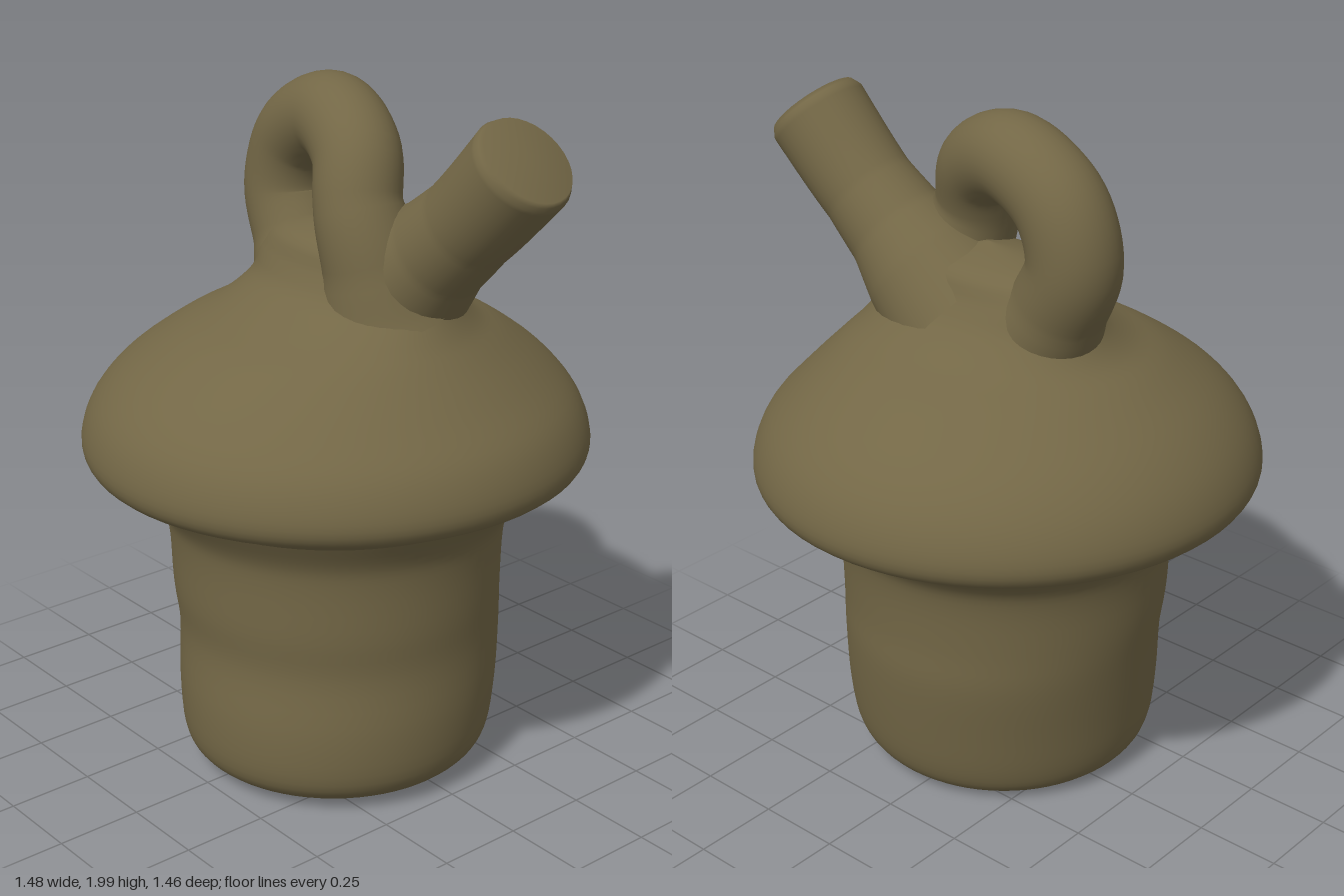
import * as THREE from 'three';
import { mergeVertices } from 'three/addons/utils/BufferGeometryUtils.js';

const clay = new THREE.MeshStandardMaterial({ color: 0x736746 });
clay.name = 'olive clay';

const V = (x, y, z) => new THREE.Vector3(x, y, z);

// Catmull-Rom value between b and c
function spline(a, b, c, d, t) {
  return b + 0.5 * t * (c - a + t * (2 * a - 5 * b + 4 * c - d + t * (3 * (b - c) + d - a)));
}

// Smooth skin through horizontal rings [y, left, right, front, back]
function loft(rings, steps = 4, sides = 72) {
  const pos = [], index = [];
  const at = i => rings[Math.min(Math.max(i, 0), rings.length - 1)];
  const rows = (rings.length - 1) * steps + 1;
  for (let r = 0; r < rows; r++) {
    const i = Math.floor(r / steps), t = (r % steps) / steps;
    const [y, l, rt, f, b] = at(i).map((v, k) => spline(at(i - 1)[k], v, at(i + 1)[k], at(i + 2)[k], t));
    for (let s = 0; s < sides; s++) {
      const a = (s / sides) * Math.PI * 2;
      pos.push((l + rt) / 2 + Math.cos(a) * (rt - l) / 2, y, (f + b) / 2 + Math.sin(a) * (f - b) / 2);
      if (r < rows - 1) {
        const n = (s + 1) % sides, p = r * sides, q = p + sides;
        index.push(p + s, q + s, p + n, p + n, q + s, q + n);
      }
    }
  }
  const g = new THREE.BufferGeometry();
  g.setAttribute('position', new THREE.Float32BufferAttribute(pos, 3));
  g.setIndex(index);
  g.computeVertexNormals();
  return g;
}

// Tube whose radius follows [u, radius] knots
function taperedTube(points, knots, segments = 60, sides = 32) {
  const curve = new THREE.CatmullRomCurve3(points);
  const g = new THREE.TubeGeometry(curve, segments, 1, sides);
  const p = g.attributes.position, n = g.attributes.normal;
  for (let i = 0; i < p.count; i++) {
    const u = Math.floor(i / (sides + 1)) / segments;
    const k = Math.max(1, knots.findIndex(q => q[0] >= u - 1e-6));
    const [u0, r0] = knots[k - 1], [u1, r1] = knots[k];
    const r = r0 + (r1 - r0) * (u - u0) / (u1 - u0);
    const c = curve.getPointAt(u);
    p.setXYZ(i, c.x + n.getX(i) * r, c.y + n.getY(i) * r, c.z + n.getZ(i) * r);
  }
  g.deleteAttribute('normal');
  g.deleteAttribute('uv');
  const merged = mergeVertices(g, 1e-5);
  merged.computeVertexNormals();
  return merged;
}

export function createModel() {
  const group = new THREE.Group();
  const add = (name, geometry) => {
    const m = new THREE.Mesh(geometry, clay);
    m.name = name;
    group.add(m);
  };

  // Hollow base: bore, rounded foot and slightly uneven wall
  add('base', loft([
    [0.62, 0.03, 0.03, 0.02, 0.02],
    [0.60, -0.17, 0.22, 0.22, -0.18],
    [0.45, -0.25, 0.31, 0.30, -0.26],
    [0.18, -0.23, 0.29, 0.29, -0.22],
    [0.06, -0.21, 0.27, 0.28, -0.20],
    [0.015, -0.26, 0.32, 0.33, -0.25],
    [0.015, -0.32, 0.37, 0.38, -0.31],
    [0.045, -0.38, 0.44, 0.46, -0.37],
    [0.11, -0.41, 0.485, 0.5, -0.405],
    [0.25, -0.43, 0.495, 0.505, -0.43],
    [0.42, -0.45, 0.485, 0.488, -0.45],
    [0.55, -0.465, 0.49, 0.5, -0.45],
    [0.7, -0.475, 0.492, 0.505, -0.46],
    [0.78, -0.5, 0.505, 0.52, -0.485],
    [0.86, -0.57, 0.55, 0.57, -0.56],
  ]));

  // Overhanging cap that narrows to an oval neck
  add('cap', loft([
    [0.82, -0.525, 0.52, 0.535, -0.515],
    [0.86, -0.57, 0.55, 0.57, -0.56],
    [0.9, -0.655, 0.62, 0.65, -0.64],
    [0.935, -0.72, 0.69, 0.715, -0.71],
    [1.0, -0.738, 0.705, 0.73, -0.725],
    [1.1, -0.7, 0.665, 0.695, -0.69],
    [1.2, -0.615, 0.575, 0.605, -0.605],
    [1.3, -0.48, 0.48, 0.46, -0.46],
    [1.36, -0.38, 0.425, 0.33, -0.34],
    [1.43, -0.325, 0.38, 0.21, -0.25],
    [1.5, -0.31, 0.36, 0.16, -0.2],
    [1.57, -0.22, 0.3, 0.12, -0.16],
    [1.61, 0.03, 0.03, -0.02, -0.02],
  ]));

  // Looped handle
  add('loopHandle', taperedTube([
    V(-0.16, 1.38, -0.03), V(-0.24, 1.5, -0.05), V(-0.3, 1.64, -0.06), V(-0.25, 1.79, -0.06),
    V(-0.08, 1.875, -0.04), V(0.08, 1.81, 0.01), V(0.135, 1.68, 0.05), V(0.18, 1.54, 0.04), V(0.2, 1.38, 0),
  ], [[0, 0.17], [0.12, 0.135], [0.25, 0.13], [0.5, 0.125], [0.75, 0.122], [0.88, 0.14], [1, 0.2]]));

  // Slanted spout with a closed, softly rounded end
  add('spout', taperedTube([
    V(0.1, 1.38, -0.05), V(0.29, 1.545, -0.06), V(0.47, 1.705, -0.07), V(0.65, 1.895, -0.08),
  ], [[0, 0.22], [0.25, 0.185], [0.42, 0.15], [0.6, 0.138], [0.95, 0.145], [0.984, 0.132], [1, 0]]));

  return group;
}
